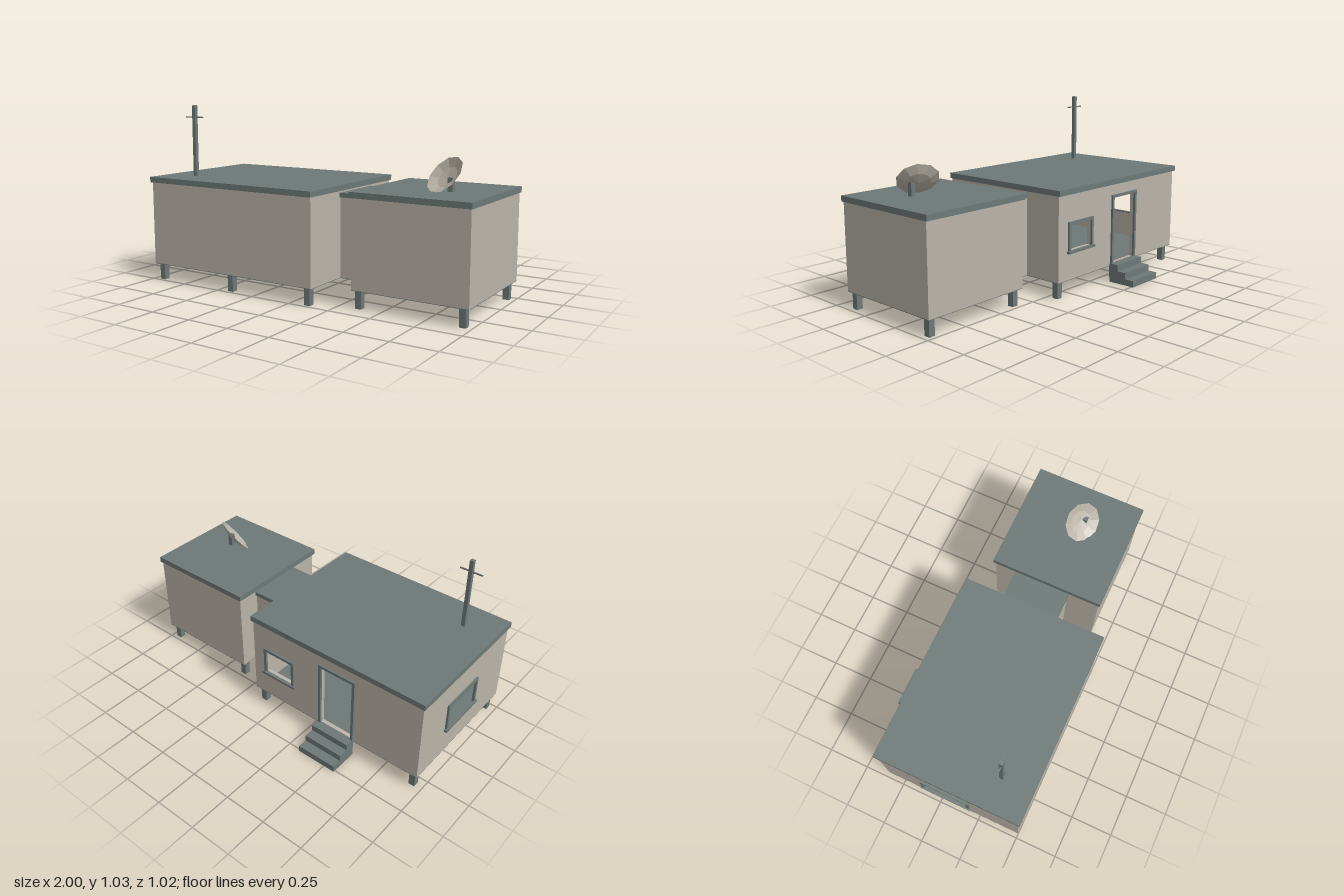
import * as THREE from 'three';

const wallMat = new THREE.MeshStandardMaterial({ color: 0xbab4a9 });
wallMat.name = 'warm grey wall';
const trimMat = new THREE.MeshStandardMaterial({ color: 0x6d7977 });
trimMat.name = 'slate grey trim';
const dishMat = new THREE.MeshStandardMaterial({ color: 0xbab4a9, side: THREE.DoubleSide, flatShading: true });
dishMat.name = 'dish grey';

const T = 0.025; // wall thickness
const FLOOR = 0.11;

// Box given by its minimum and maximum on each axis
function box(parent, name, [x0, x1], [y0, y1], [z0, z1], mat = trimMat) {
  const mesh = new THREE.Mesh(new THREE.BoxGeometry(x1 - x0, y1 - y0, z1 - z0), mat);
  mesh.position.set((x0 + x1) / 2, (y0 + y1) / 2, (z0 + z1) / 2);
  mesh.name = name;
  parent.add(mesh);
  return mesh;
}

// Upright wall from a0 to a1, with openings given as [a0, a1, y0, y1].
// Along x it starts at z = at; along z it starts at x = at.
function wall(parent, name, axis, [a0, a1], [y0, y1], at, openings = []) {
  const s = axis === 'x' ? 1 : -1; // walls along z are drawn mirrored, then turned
  const rect = (Type, l, r, b, t) => {
    const p = new Type();
    p.moveTo(s * l, b);
    p.lineTo(s * r, b);
    p.lineTo(s * r, t);
    p.lineTo(s * l, t);
    p.closePath();
    return p;
  };
  const shape = rect(THREE.Shape, a0, a1, y0, y1);
  for (const o of openings) shape.holes.push(rect(THREE.Path, ...o));
  const mesh = new THREE.Mesh(new THREE.ExtrudeGeometry(shape, { depth: T, bevelEnabled: false }), wallMat);
  if (axis === 'x') mesh.position.z = at;
  else {
    mesh.rotation.y = Math.PI / 2;
    mesh.position.x = at;
  }
  mesh.name = name;
  parent.add(mesh);
}

// Hollow room with floor, four walls, overhanging roof and legs
function room(name, [x0, x1], [z0, z1], openings, legXs, legZs) {
  const g = new THREE.Group();
  g.name = name;
  const ys = [0.1, 0.586];
  box(g, 'floor', [x0, x1], [0.097, 0.1], [z0, z1]);
  box(g, 'innerFloor', [x0 + T, x1 - T], [0.1, FLOOR], [z0 + T, z1 - T]);
  wall(g, 'frontWall', 'x', [x0, x1], ys, z1 - T);
  wall(g, 'backWall', 'x', [x0, x1], ys, z0, openings.back);
  wall(g, 'rightWall', 'z', [z0 + T, z1 - T], ys, x0, openings.right);
  wall(g, 'leftWall', 'z', [z0 + T, z1 - T], ys, x1 - T, openings.left);
  box(g, 'roof', [x0 - 0.011, x1 + 0.007], [0.585, 0.617], [z0 - 0.012, z1 + 0.01]);
  for (const x of legXs)
    for (const z of legZs)
      box(g, 'leg', [x - 0.018, x + 0.018], [0, 0.098], [z - 0.018, z + 0.018]);
  return g;
}

export function createModel() {
  const model = new THREE.Group();
  model.name = 'raisedCabin';

  // Two rooms joined by a passage
  const passage = [0.0, 0.1, FLOOR, 0.5];
  model.add(room('mainRoom', [-0.98, 0.145], [-0.342, 0.5], {
    back: [[-0.555, -0.345, FLOOR, 0.507], [-0.135, 0.05, 0.265, 0.415]],
    right: [[-0.085, 0.185, 0.265, 0.415]],
    left: [passage],
  }, [-0.942, -0.418, 0.107], [0.463, -0.303]));
  model.add(room('sideRoom', [0.333, 0.991], [-0.25, 0.403], { right: [passage] },
    [0.367, 0.953], [0.373, -0.209]));

  const link = new THREE.Group();
  link.name = 'passage';
  const lx = [0.145, 0.333];
  box(link, 'floor', lx, [0.097, 0.1], [-0.11, 0.21]);
  box(link, 'innerFloor', lx, [0.1, FLOOR], [-0.085, 0.185]);
  wall(link, 'frontWall', 'x', lx, [0.1, 0.551], 0.21 - T);
  wall(link, 'backWall', 'x', lx, [0.1, 0.551], -0.11);
  box(link, 'roof', lx, [0.55, 0.575], [-0.122, 0.22]);
  model.add(link);

  // Door frame
  const door = new THREE.Group();
  door.name = 'doorFrame';
  const dz = [-0.354, -0.34];
  box(door, 'jamb', [-0.57, -0.554], [FLOOR, 0.522], dz);
  box(door, 'jamb', [-0.346, -0.33], [FLOOR, 0.522], dz);
  box(door, 'lintel', [-0.554, -0.346], [0.506, 0.522], dz);
  model.add(door);

  // Window frames, drawn around a centre facing +z and then turned
  function windowFrame(name, w) {
    const g = new THREE.Group();
    g.name = name;
    const h = w / 2, d = [-0.002, 0.011];
    for (const s of [-1, 1]) {
      const edges = [s * h, s * (h - 0.016)].sort((a, b) => a - b);
      box(g, 'side', edges, [0.265, 0.43], d);
    }
    box(g, 'top', [-h + 0.016, h - 0.016], [0.414, 0.43], d);
    box(g, 'sill', [-h - 0.008, h + 0.008], [0.252, 0.266], [-0.002, 0.018]);
    model.add(g);
    return g;
  }
  const back = windowFrame('backWindow', 0.216);
  back.rotation.y = Math.PI;
  back.position.set(-0.043, 0, -0.342);
  const side = windowFrame('sideWindow', 0.296);
  side.rotation.y = -Math.PI / 2;
  side.position.set(-0.98, 0, 0.05);

  // Steps to the door
  const steps = new THREE.Group();
  steps.name = 'steps';
  const stepEdges = [-0.342, -0.399, -0.455, -0.511];
  for (let i = 0; i < 3; i++)
    box(steps, 'step', [-0.568, -0.326], [0, 0.112 - i * 0.0373], [stepEdges[i + 1], stepEdges[i]]);
  model.add(steps);

  // Mast with a thin crossbar
  const mast = new THREE.Group();
  mast.name = 'mast';
  box(mast, 'pole', [-0.811, -0.789], [0.61, 1.034], [0.31, 0.332]);
  box(mast, 'crossbar', [-0.868, -0.735], [0.961, 0.968], [0.318, 0.325]);
  model.add(mast);

  // Shallow faceted dish tilted up and to the front, on a short post
  const profile = [[0, -0.03], [0.065, -0.022], [0.116, 0]].map(p => new THREE.Vector2(...p));
  const dish = new THREE.Mesh(new THREE.LatheGeometry(profile, 10), dishMat);
  dish.name = 'dish';
  dish.position.set(0.723, 0.702, 0.125);
  dish.quaternion.setFromUnitVectors(new THREE.Vector3(0, 1, 0),
    new THREE.Vector3(-0.38, 0.63, 0.68).normalize());
  model.add(dish);
  box(model, 'dishPost', [0.748, 0.776], [0.61, 0.69], [0.115, 0.143]);

  return model;
}
